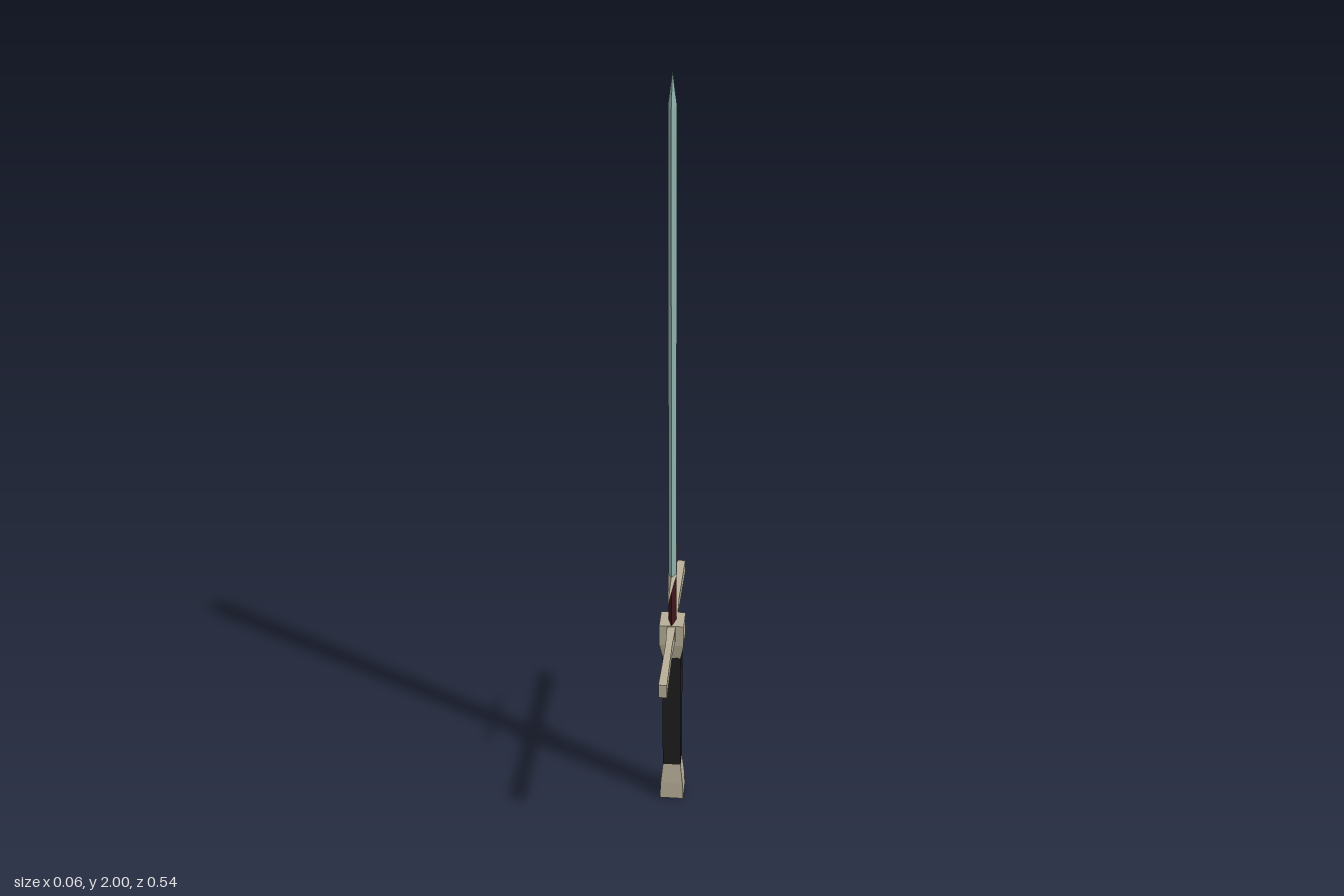
import * as THREE from 'three';

const mat = (color) => new THREE.MeshStandardMaterial({ color, flatShading: true });

// Four-sided loft from [position, half width] pairs; square or diamond section
function loft(profile, diamond = false) {
  const k = diamond ? 1 : Math.SQRT2;
  const pts = profile.map(([y, r]) => new THREE.Vector2(r * k, y));
  pts.unshift(new THREE.Vector2(0, profile[0][0]));
  pts.push(new THREE.Vector2(0, profile[profile.length - 1][0]));
  return new THREE.LatheGeometry(pts, 4, diamond ? 0 : Math.PI / 4);
}

// Mirrors a half profile so it runs from one tip to the other
const bothWays = (half) => [
  ...half.slice().reverse().map(([d, r]) => [-d, r]),
  ...half.filter(([d]) => d > 0),
];

export function createModel() {
  const group = new THREE.Group();
  const brass = mat(0xb8af98), leather = mat(0x1e1e1f), red = mat(0x3d1519), steel = mat(0x8fb0ad);

  const add = (name, geometry, material) => {
    const mesh = new THREE.Mesh(geometry, material);
    mesh.name = name;
    group.add(mesh);
    return mesh;
  };

  // Handle
  add('pommel', loft([[0, 0.031], [0.05, 0.029], [0.11, 0.023]]), brass);
  add('grip', loft([[0.11, 0.0235], [0.46, 0.0235]]), leather);
  add('collar', loft([[0.46, 0.023], [0.505, 0.031], [0.565, 0.031]]), brass);

  // Long crossguard along z, slightly waisted
  const arm = [[0, 0.0105], [0.05, 0.0105], [0.1, 0.0085], [0.19, 0.0095], [0.268, 0.0105]];
  const guard = loft(bothWays(arm)).rotateX(Math.PI / 2).scale(1, 1.8, 1);
  add('crossguard', guard, brass).position.y = 0.544;

  // Diamond-section blade with its coloured base
  add('bladeBase', loft([[0.56, 0.0315], [0.7, 0.0315]], true).scale(0.32, 1, 1), red);
  add('blade', loft([[0.7, 0.031], [1.92, 0.031], [2, 0]], true).scale(0.32, 1, 1), steel);

  // Small pointed guard above the blade base
  const spike = [[0, 0.0115], [0.035, 0.008], [0.14, 0]];
  const lugs = loft(bothWays(spike), true).rotateX(Math.PI / 2).scale(1, 1.3, 1);
  add('upperGuard', lugs, brass).position.y = 0.702;

  return group;
}
